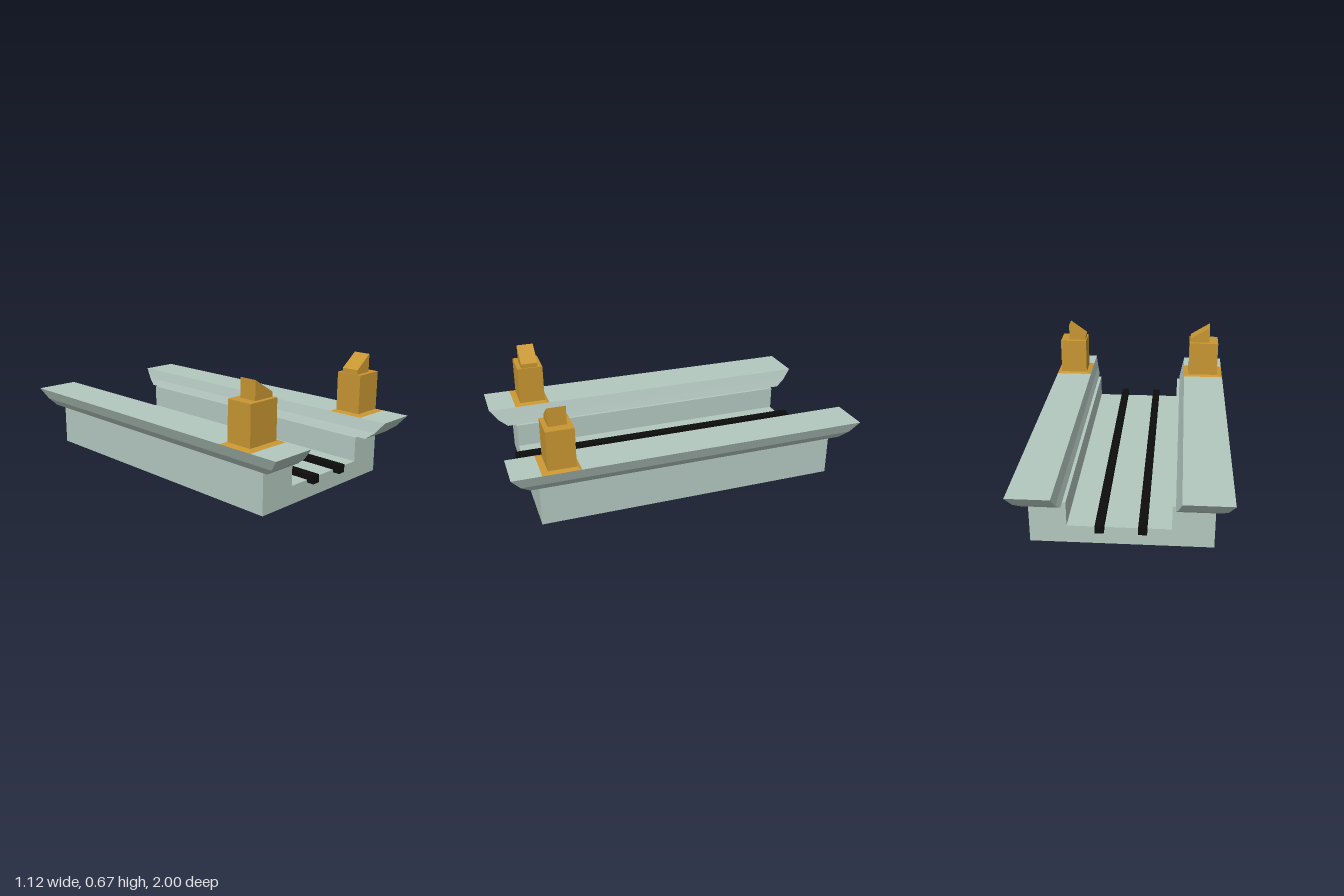
import * as THREE from 'three';

const mat = (color) => new THREE.MeshStandardMaterial({ color, flatShading: true });

// Solid through stacked rectangles, each [y, x0, x1, z0, z1], from bottom to top
function loft(rings) {
  const pos = [];
  const corners = rings.map(([y, x0, x1, z0, z1]) => [[x0, y, z1], [x1, y, z1], [x1, y, z0], [x0, y, z0]]);
  const quad = (a, b, c, d) => pos.push(...a, ...b, ...c, ...a, ...c, ...d);
  for (let i = 0; i < corners.length - 1; i++) {
    const lo = corners[i], hi = corners[i + 1];
    for (let k = 0; k < 4; k++) {
      const n = (k + 1) % 4;
      quad(lo[k], lo[n], hi[n], hi[k]);
    }
  }
  const [b, t] = [corners[0], corners[corners.length - 1]];
  quad(b[3], b[2], b[1], b[0]);
  quad(t[0], t[1], t[2], t[3]);
  const geo = new THREE.BufferGeometry();
  geo.setAttribute('position', new THREE.Float32BufferAttribute(pos, 3));
  geo.computeVertexNormals();
  return geo;
}

// Outline in x and y, extruded from z0 to z1
function prism(points, z0, z1) {
  const shape = new THREE.Shape(points.map(([x, y]) => new THREE.Vector2(x, y)));
  return new THREE.ExtrudeGeometry(shape, { depth: z1 - z0, bevelEnabled: false }).translate(0, 0, z0);
}

function addMesh(parent, name, geometry, material) {
  const mesh = new THREE.Mesh(geometry, material);
  mesh.name = name;
  parent.add(mesh);
}

export function createModel() {
  const model = new THREE.Group();
  model.name = 'trackPlatform';
  const stone = mat(0xb4c8c0), gold = mat(0xc89632), black = mat(0x0d0d0d);

  // Channel-shaped bed
  addMesh(model, 'bed', prism([
    [-0.475, 0], [0.475, 0], [0.475, 0.237], [0.282, 0.237],
    [0.282, 0.1], [-0.257, 0.1], [-0.257, 0.237], [-0.475, 0.237],
  ], -0.85, 0.85), stone);

  // Two rails along the channel
  for (const x of [-0.11, 0.11]) {
    addMesh(model, x < 0 ? 'rightRail' : 'leftRail',
      new THREE.BoxGeometry(0.045, 0.045, 1.78).translate(x, 0.108, 0), black);
  }

  // Each side: x ranges of the flared walkway (bottom, middle, top), tower and wedge
  const sides = [
    { name: 'right', walk: [[-0.503, -0.274], [-0.531, -0.286], [-0.56, -0.304]],
      tower: [-0.525, -0.335], wedge: [-0.467, -0.342], high: 0 },
    { name: 'left', walk: [[0.3, 0.503], [0.315, 0.531], [0.33, 0.557]],
      tower: [0.36, 0.53], wedge: [0.367, 0.475], high: 1 },
  ];
  const levels = [[0.237, 0.9], [0.276, 0.95], [0.339, 1]];

  for (const { name, walk, tower, wedge, high } of sides) {
    addMesh(model, name + 'Walkway',
      loft(walk.map((xs, i) => [levels[i][0], ...xs, -levels[i][1], levels[i][1]])), stone);

    // Tower: sloped foot, square body and wedge roof
    const group = new THREE.Group();
    group.name = name + 'Tower';
    addMesh(group, 'foot', loft([
      [0.339, ...walk[2], 0.637, 0.842],
      [0.347, ...tower, 0.658, 0.808],
    ]), gold);
    addMesh(group, 'body', loft([
      [0.345, ...tower, 0.658, 0.808],
      [0.567, ...tower, 0.658, 0.808],
    ]), gold);
    const tops = high ? [0.592, 0.67] : [0.67, 0.592];
    addMesh(group, 'wedge', prism([
      [wedge[0], 0.567], [wedge[1], 0.567], [wedge[1], tops[1]], [wedge[0], tops[0]],
    ], 0.685, 0.783), gold);
    model.add(group);
  }
  return model;
}
